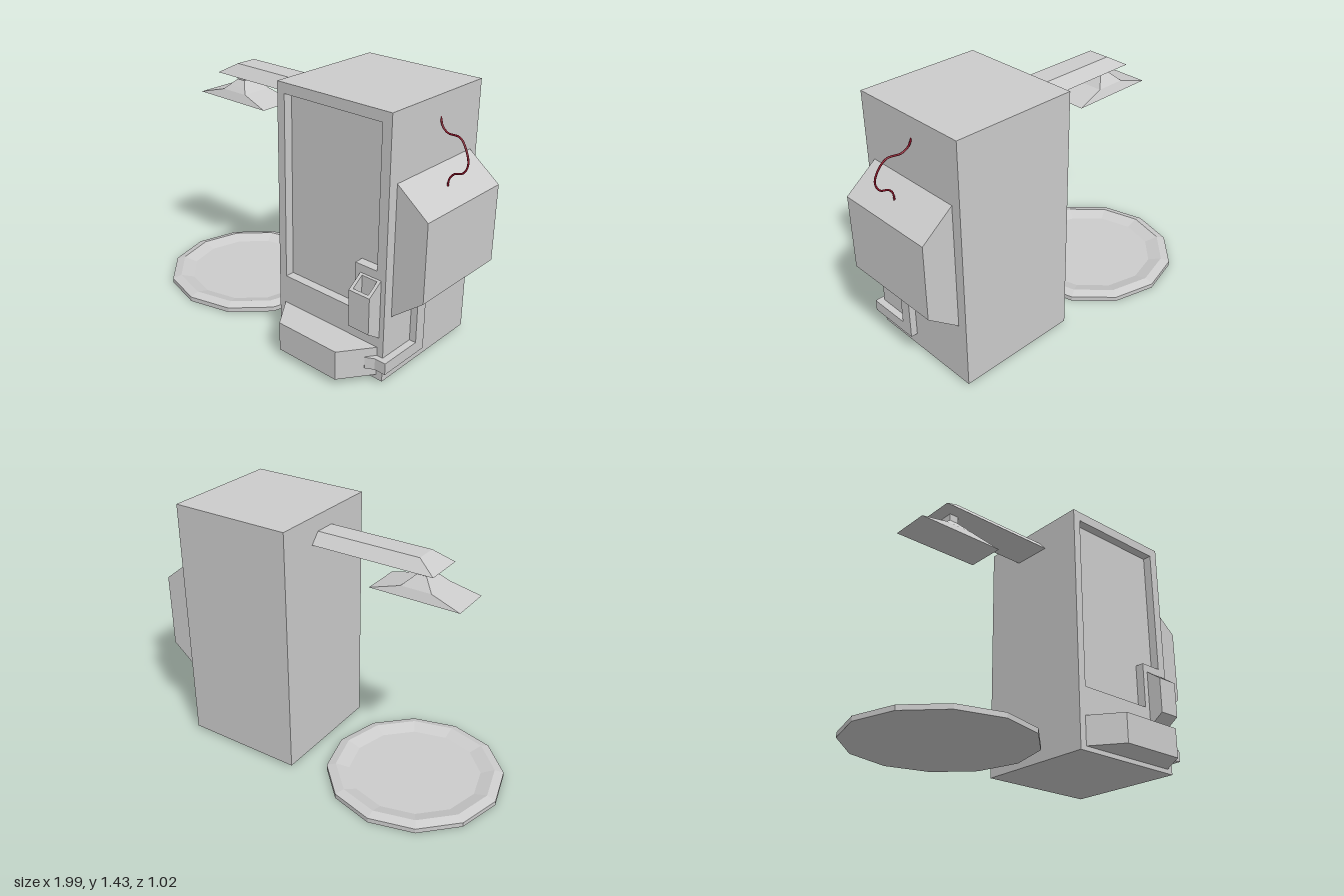
import * as THREE from 'three';

const grey = new THREE.MeshStandardMaterial({ color: 0xcccccc, flatShading: true, side: THREE.DoubleSide });
const red = new THREE.MeshStandardMaterial({ color: 0x8a1026 });

const outline = (points) => new THREE.Shape(points.map(([a, b]) => new THREE.Vector2(a, b)));
const extrude = (shape, depth) => new THREE.ExtrudeGeometry(shape, { depth, bevelEnabled: false });

// (x, y) outline from z0 to z1
const alongZ = (shape, z0, z1) => extrude(shape, z1 - z0).translate(0, 0, z0);
// (z, y) outline from x0 to x1
const alongX = (points, x0, x1) => extrude(outline(points), x1 - x0).rotateY(-Math.PI / 2).translate(x1, 0, 0);
// (x, z) outline from y0 to y1
const alongY = (points, y0, y1) => extrude(outline(points), y1 - y0).rotateX(Math.PI / 2).translate(0, y1, 0);

// Stack of rectangles [y, x0, x1, z0, z1], bottom to top, capped at both ends
function loftRects(rects) {
  const pos = [], idx = [];
  for (const [y, x0, x1, z0, z1] of rects) pos.push(x0, y, z1, x1, y, z1, x1, y, z0, x0, y, z0);
  for (let r = 0; r < rects.length - 1; r++) {
    for (let i = 0; i < 4; i++) {
      const a = r * 4 + i, b = r * 4 + (i + 1) % 4;
      idx.push(a, b, b + 4, a, b + 4, a + 4);
    }
  }
  const t = (rects.length - 1) * 4;
  idx.push(0, 2, 1, 0, 3, 2, t, t + 1, t + 2, t, t + 2, t + 3);
  const g = new THREE.BufferGeometry();
  g.setAttribute('position', new THREE.Float32BufferAttribute(pos, 3));
  g.setIndex(idx);
  const flat = g.toNonIndexed();
  flat.computeVertexNormals();
  return flat;
}

export function createModel() {
  const model = new THREE.Group();
  model.name = 'showerMachine';
  const add = (name, geometry, material = grey, parent = model) => {
    const mesh = new THREE.Mesh(geometry, material);
    mesh.name = name;
    parent.add(mesh);
    return mesh;
  };

  // Cabinet with a stepped recess in its front
  const cabinet = new THREE.Group();
  cabinet.name = 'cabinet';
  model.add(cabinet);
  const rect = [[0.095, 0.015], [0.8, 0.015], [0.8, 1.43], [0.095, 1.43]];
  add('cabinetBody', alongZ(outline(rect), -0.37, 0.285), grey, cabinet);
  const frame = outline(rect);
  frame.holes.push(outline([
    [0.142, 0.364], [0.612, 0.364], [0.612, 0.626], [0.746, 0.626], [0.746, 1.374], [0.142, 1.374],
  ]));
  add('cabinetFrontFrame', alongZ(frame, 0.285, 0.336), grey, cabinet);

  // Tray with slanted sides at the foot of the front
  add('frontTray', alongY([[0.13, 0.33], [0.768, 0.33], [0.64, 0.508], [0.256, 0.508]], 0.04, 0.203));

  // Hollow slot box: two cheeks and a channel between them
  const slot = new THREE.Group();
  slot.name = 'slotBox';
  model.add(slot);
  const cheek = [[0.335, 0.26], [0.422, 0.32], [0.422, 0.521], [0.335, 0.583]];
  for (const x of [0.645, 0.755]) add('slotCheek', alongX(cheek, x, x + 0.018), grey, slot);
  add('slotChannel', alongX([
    [0.335, 0.26], [0.422, 0.32], [0.422, 0.521], [0.41, 0.53],
    [0.41, 0.345], [0.345, 0.3], [0.345, 0.576], [0.335, 0.583],
  ], 0.663, 0.755), grey, slot);

  // Side housing with sloped top and bottom
  add('sideHousing', alongZ(outline([[0.8, 0.368], [0.98, 0.513], [0.98, 0.936], [0.8, 1.077]]), -0.314, 0.279));

  // Square pipe from the housing round the corner into the tray
  const pipe = new THREE.Group();
  pipe.name = 'pipe';
  model.add(pipe);
  add('pipeRun', alongX([
    [0.049, 0.09], [0.365, 0.09], [0.365, 0.155], [0.116, 0.155], [0.116, 0.405], [0.049, 0.405],
  ], 0.8, 0.839), grey, pipe);
  add('pipeElbow', alongY([
    [0.8, 0.335], [0.8, 0.365], [0.775, 0.365], [0.73, 0.39], [0.7, 0.36], [0.74, 0.335],
  ], 0.09, 0.155), grey, pipe);

  // Overhead arm and the rectangular shower head below its tip
  add('arm', loftRects([[1.28, -0.61, 0.096, -0.134, 0.096], [1.34, -0.505, 0.096, -0.08, 0.043]]));
  const tier = (y, hx, hz) => [y, -0.508 - hx, -0.508 + hx, -0.019 - hz, -0.019 + hz];
  add('showerHead', loftRects([
    tier(1.135, 0.256, 0.115), tier(1.182, 0.087, 0.093), tier(1.208, 0.06, 0.07),
    tier(1.24, 0.027, 0.04), tier(1.282, 0.027, 0.04),
  ]));

  // Twelve-sided basin on the floor
  const basinProfile = [[0, 0], [0.495, 0], [0.495, 0.027], [0.444, 0.042], [0.368, 0.018], [0, 0.018]];
  const basin = add('basin', new THREE.LatheGeometry(basinProfile.map(([r, y]) => new THREE.Vector2(r, y)), 12));
  basin.position.set(-0.505, 0, -0.02);

  // Loose red wire from the cabinet to the housing
  const wire = new THREE.CatmullRomCurve3([
    [0.795, 1.32, -0.042], [0.815, 1.275, -0.035], [0.85, 1.252, -0.028], [0.925, 1.25, -0.018],
    [0.965, 1.21, -0.008], [0.99, 1.14, 0], [0.968, 1.09, 0], [0.92, 1.072, 0.001],
    [0.897, 1.045, 0.003], [0.89, 1.0, 0.004],
  ].map((p) => new THREE.Vector3(...p)));
  add('wire', new THREE.TubeGeometry(wire, 48, 0.005, 8), red);

  return model;
}
